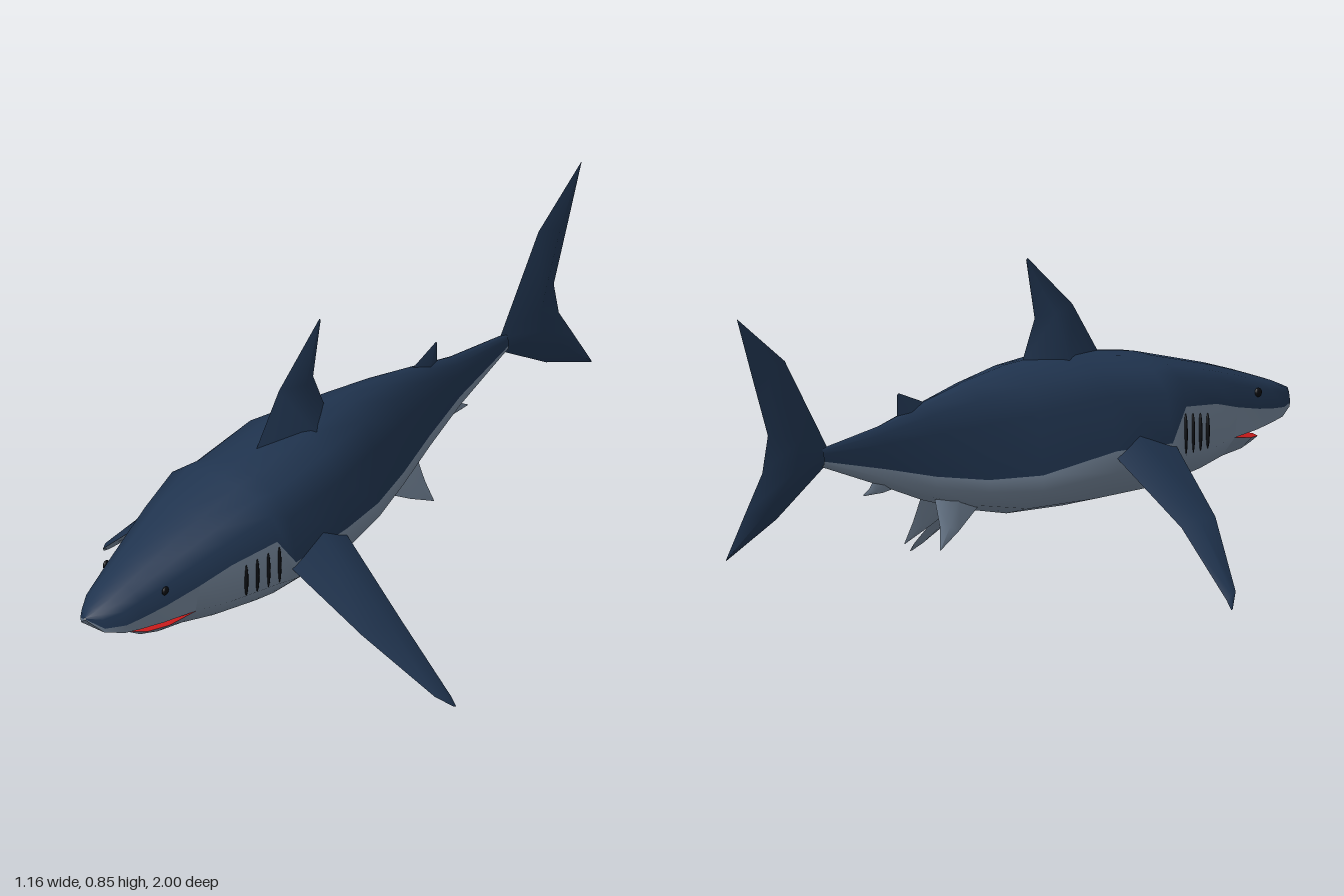
import * as THREE from 'three';

const mat = (color, side = THREE.FrontSide) =>
  new THREE.MeshStandardMaterial({ color, side, roughness: 0.8 });

// Skin a grid of points: rows run front to back, each row an equal list of [x, y, z].
function loft(name, rows, material) {
  const n = rows[0].length;
  const index = [];
  for (let i = 0; i < rows.length - 1; i++) {
    for (let j = 0; j < n - 1; j++) {
      const a = i * n + j, b = a + 1, c = a + n, d = c + 1;
      index.push(a, c, b, b, c, d);
    }
  }
  const g = new THREE.BufferGeometry();
  g.setAttribute('position', new THREE.Float32BufferAttribute(rows.flat(2), 3));
  g.setIndex(index);
  g.computeVertexNormals();
  const mesh = new THREE.Mesh(g, material);
  mesh.name = name;
  return mesh;
}

// Mirror half a section (starting at the centre line) into a full arc, +x first or -x first.
function arc(half, startSide) {
  const flip = (p, s) => [p[0] * s, p[1], p[2]];
  return [
    ...half.slice(1).reverse().map(p => flip(p, startSide)),
    ...half.map(p => flip(p, -startSide)),
  ];
}

// Fin from stations of [lead, trail, half thickness], with a diamond cross-section.
function fin(name, stations, normal, matA, matB = matA, mirror = 1) {
  const group = new THREE.Group();
  group.name = name;
  [[1, matA], [-1, matB]].forEach(([s, m]) => {
    const rows = stations.map(([lead, trail, h]) => {
      const mid = lead.map((v, k) => v + (trail[k] - v) * 0.6 + normal[k] * h * s);
      return [lead, mid, trail].map(p => [p[0] * mirror, p[1], p[2]]);
    });
    group.add(loft(s > 0 ? name + 'Outer' : name + 'Inner', rows, m));
  });
  return group;
}

export function createModel() {
  const model = new THREE.Group();
  model.name = 'shark';
  const navy = mat(0x20344f), grey = mat(0x75869a), red = mat(0xc41a1a), black = mat(0x0a0c10);
  const navyFin = mat(0x20344f, THREE.DoubleSide), greyFin = mat(0x75869a, THREE.DoubleSide);

  // Sections: z, top y, colour line y, lip y, bottom y, half width, lip width factor
  const head = [
    [1.0, 0.402, 0.398, 0.396, 0, 0.002, 0.9],
    [0.97, 0.415, 0.372, 0.36, 0, 0.042, 0.9],
    [0.92, 0.435, 0.37, 0.345, 0, 0.072, 0.9],
    [0.87, 0.452, 0.375, 0.337, 0, 0.086, 0.88],
    [0.8, 0.475, 0.385, 0.33, 0, 0.105, 0.88],
  ];
  const trunk = [
    [0.7, 0.505, 0.405, 0.325, 0.25, 0.13, 0.88],
    [0.6, 0.53, 0.43, 0.32, 0.228, 0.155, 0.96],
    [0.46, 0.565, 0.445, 0.32, 0.208, 0.187, 1],
    [0.4, 0.575, 0.36, 0.315, 0.205, 0.2, 1],
    [0.2, 0.6, 0.365, 0.31, 0.2, 0.2, 1],
    [0, 0.59, 0.32, 0.28, 0.205, 0.135, 1],
    [-0.15, 0.565, 0.322, 0.29, 0.235, 0.092, 1],
    [-0.3, 0.53, 0.345, 0.315, 0.278, 0.052, 1],
    [-0.45, 0.49, 0.38, 0.355, 0.335, 0.026, 1],
    [-0.66, 0.457, 0.425, 0.418, 0.41, 0.01, 1],
  ];
  const upper = ([z, t, b, , , w]) => {
    const d = t - b;
    return [[0, t, z], [0.3 * w, t - 0.03 * d, z], [0.62 * w, t - 0.17 * d, z],
      [0.88 * w, t - 0.42 * d, z], [0.98 * w, b, z]];
  };
  const belly = (z, lip, bottom, x) =>
    [[0, bottom, z], [0.6 * x, bottom + 0.3 * (lip - bottom), z], [x, lip, z]];
  const side = ([z, , b, lip, , w, f], s) => [[s * 0.98 * w, b, z], [s * w * f, lip, z]];
  const across = (z, lip, x, s) => [[s * x, lip, z], [0, lip, z], [-s * x, lip, z]];

  // Body
  const snout = [...head, trunk[0]];
  model.add(loft('back', [...head, ...trunk].map(r => arc(upper(r), 1)), navy));
  model.add(loft('belly', trunk.map(r =>
    arc([...belly(r[0], r[3], r[4], r[5] * r[6]), side(r, 1)[0]], -1)), grey));
  model.add(loft('leftCheek', snout.map(r => side(r, 1).reverse()), grey));
  model.add(loft('rightCheek', snout.map(r => side(r, -1)), grey));

  // Mouth
  const jaw = [
    [0.86, 0.303, 0.3, 0.02], [0.83, 0.307, 0.28, 0.066],
    [0.78, 0.313, 0.266, 0.095], [0.7, 0.325, 0.25, 0.1144],
  ];
  const roof = r => across(r[0], r[3], r[5] * r[6], -1);
  model.add(loft('lowerJaw', jaw.map(r => arc(belly(...r), -1)), grey));
  model.add(loft('mouthFloor', jaw.map(r => across(r[0], r[1], r[3], 1)), red));
  model.add(loft('snoutUnderside', snout.slice(0, 4).map(roof), grey));
  model.add(loft('mouthRoof', snout.slice(3).map(roof), red));

  // Upright fins, given as [lead z, lead y, trail z, trail y, half thickness]
  const upright = (name, list, m) => model.add(fin(name,
    list.map(([lz, ly, tz, ty, h]) => [[0, ly, lz], [0, ty, tz], h]), [1, 0, 0], m));
  upright('dorsalFin', [
    [0.33, 0.575, 0.05, 0.575, 0.068], [0.235, 0.715, 0.1, 0.695, 0.022], [0.075, 0.855, 0.07, 0.85, 0],
  ], navyFin);
  upright('secondDorsalFin', [
    [-0.28, 0.525, -0.39, 0.495, 0.014], [-0.385, 0.565, -0.39, 0.56, 0],
  ], navyFin);
  upright('analFin', [
    [-0.37, 0.325, -0.47, 0.355, 0.012], [-0.44, 0.315, -0.49, 0.33, 0.006], [-0.51, 0.315, -0.51, 0.318, 0],
  ], greyFin);
  upright('tailFin', [
    [-1, 0.21, -1, 0.212, 0], [-0.82, 0.295, -0.93, 0.325, 0.02], [-0.64, 0.415, -0.87, 0.42, 0.028],
    [-0.64, 0.46, -0.85, 0.515, 0.03], [-0.79, 0.7, -0.905, 0.67, 0.014], [-0.96, 0.83, -0.96, 0.828, 0],
  ], navyFin);

  // Paired parts
  const ball = new THREE.SphereGeometry(1, 10, 8);
  [['left', 1], ['right', -1]].forEach(([name, s]) => {
    model.add(fin(name + 'PectoralFin', [
      [[0.16, 0.375, 0.425], [0.16, 0.375, 0.195], 0.034],
      [[0.385, 0.2, 0.365], [0.4, 0.19, 0.23], 0.018],
      [[0.55, 0.04, 0.275], [0.565, 0.025, 0.228], 0.009],
      [[0.58, 0.003, 0.235], [0.582, 0.002, 0.228], 0],
    ], [0.66, 0.75, 0], navyFin, greyFin, s));
    model.add(fin(name + 'PelvicFin', [
      [[0.03, 0.26, -0.11], [0.025, 0.28, -0.28], 0.02],
      [[0.052, 0.195, -0.22], [0.048, 0.215, -0.285], 0.01],
      [[0.065, 0.155, -0.3], [0.065, 0.157, -0.3], 0],
    ], [0.93, 0.35, 0], greyFin, greyFin, s));

    const eye = new THREE.Mesh(ball, black);
    eye.name = name + 'Eye';
    eye.scale.set(0.006, 0.012, 0.012);
    eye.position.set(s * 0.098, 0.427, 0.8);
    model.add(eye);

    // Gill slits follow the width of the trunk
    for (let i = 0; i < 4; i++) {
      const z = 0.455 + i * 0.034;
      const gill = new THREE.Mesh(ball, black);
      gill.name = name + 'GillSlit';
      gill.scale.set(0.006, 0.055 - i * 0.003, 0.005);
      gill.position.set(s * (0.185 - (z - 0.46) * 0.235), 0.374 - i * 0.002, z);
      model.add(gill);
    }
  });
  return model;
}
